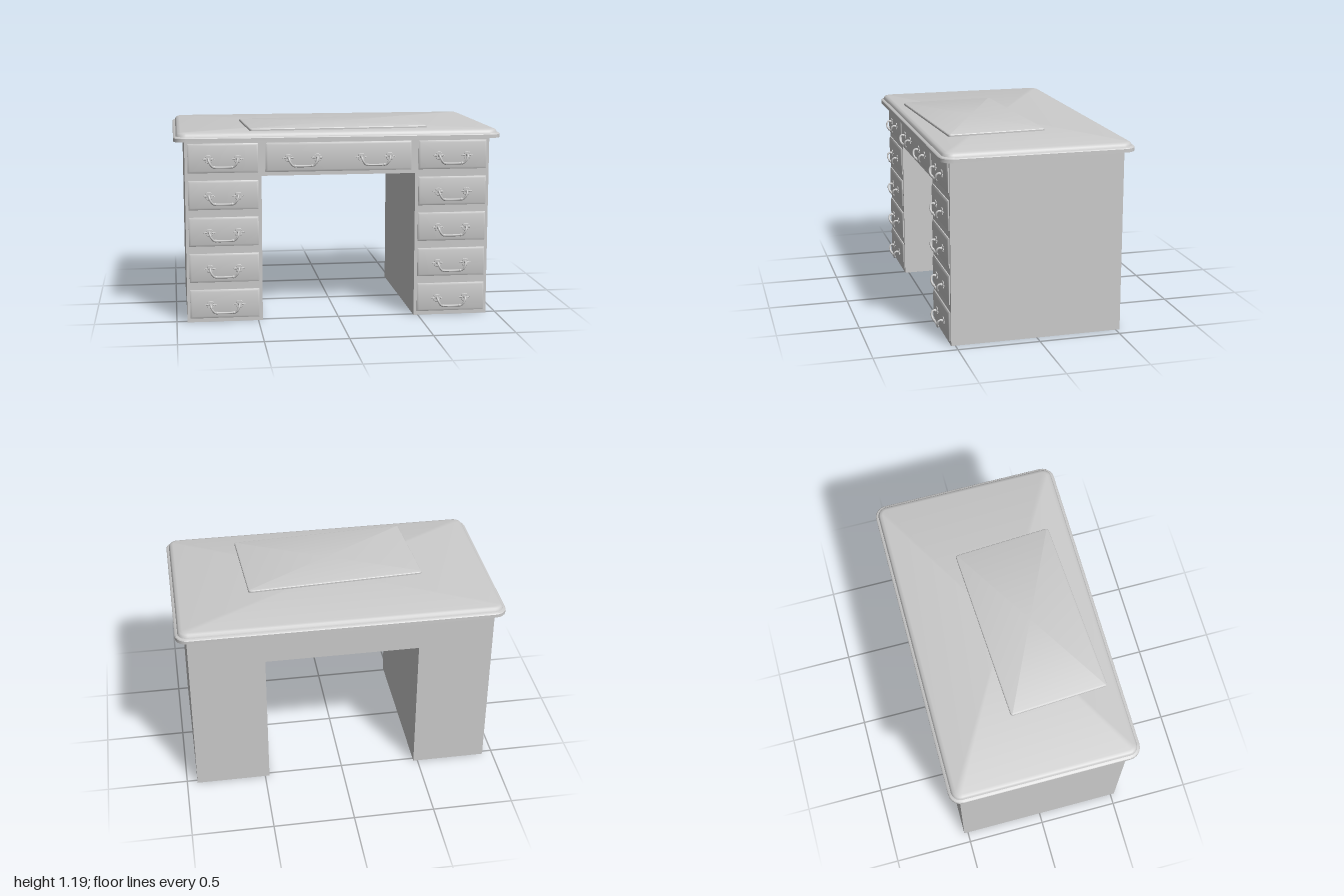
import * as THREE from 'three';
import { toCreasedNormals } from 'three/addons/utils/BufferGeometryUtils.js';

const grey = new THREE.MeshStandardMaterial({ color: 0xcccccc });
const greyThin = new THREE.MeshStandardMaterial({ color: 0xcccccc, side: THREE.DoubleSide });

function add(parent, name, geometry, x = 0, y = 0, z = 0, material = grey) {
  const mesh = new THREE.Mesh(geometry, material);
  mesh.name = name;
  mesh.position.set(x, y, z);
  parent.add(mesh);
  return mesh;
}

// Outline of a rounded rectangle, anticlockwise in the x-z plane
function outline(w, d, r, segs, inset, y) {
  const ring = [];
  const radius = Math.max(r - inset, 0.0005);
  const cx = w / 2 - inset - radius, cz = d / 2 - inset - radius;
  [[1, 1], [-1, 1], [-1, -1], [1, -1]].forEach(([sx, sz], q) => {
    for (let i = 0; i <= segs; i++) {
      const a = (q + i / segs) * Math.PI / 2;
      ring.push(new THREE.Vector3(sx * cx + radius * Math.cos(a), y, sz * cz + radius * Math.sin(a)));
    }
  });
  return ring;
}

// Slab with a moulded edge: profile is a list of [inset, height], from bottom to top
function slab(w, d, r, segs, profile) {
  const rings = profile.map(([inset, y]) => outline(w, d, r, segs, inset, y));
  const pts = [];
  const n = rings[0].length;
  const low = new THREE.Vector3(0, profile[0][1], 0);
  const high = new THREE.Vector3(0, profile[profile.length - 1][1], 0);
  for (let i = 0; i < n; i++) {
    const j = (i + 1) % n;
    for (let k = 0; k < rings.length - 1; k++) {
      const a = rings[k][i], b = rings[k][j], c = rings[k + 1][i], e = rings[k + 1][j];
      pts.push(a, c, b, b, c, e);
    }
    const top = rings[rings.length - 1];
    pts.push(low, rings[0][i], rings[0][j], high, top[j], top[i]);
  }
  const g = new THREE.BufferGeometry().setFromPoints(pts);
  return toCreasedNormals(g, 0.6);
}

// Bail handle: two leaf-shaped back plates, posts and a hanging bar
const plateShape = new THREE.Shape(Array.from({ length: 32 }, (_, i) => {
  const t = i / 32 * Math.PI * 2;
  const r = 0.7 + 0.3 * Math.cos(4 * t + Math.PI * 0.5 * Math.sin(2 * t));
  return new THREE.Vector2(0.034 * r * Math.cos(t), 0.022 * r * Math.sin(t));
}));
const plateGeo = new THREE.ExtrudeGeometry(plateShape, {
  depth: 0.004, bevelEnabled: true, bevelThickness: 0.002, bevelSize: 0.002, bevelSegments: 1,
});
const half = [[0.088, 0, 0.002], [0.088, 0.004, 0.02], [0.087, -0.004, 0.033], [0.078, -0.026, 0.037], [0.062, -0.044, 0.031], [0.04, -0.047, 0.028]];
const barPath = new THREE.CatmullRomCurve3([
  ...half.map(([x, y, z]) => new THREE.Vector3(-x, y, z)),
  ...half.slice().reverse().map(([x, y, z]) => new THREE.Vector3(x, y, z)),
]);
const barGeo = new THREE.TubeGeometry(barPath, 48, 0.0065, 8);
const knobGeo = new THREE.SphereGeometry(0.009, 10, 8);

function makeHandle() {
  const handle = new THREE.Group();
  handle.name = 'handle';
  add(handle, 'handleBar', barGeo);
  for (const s of [-1, 1]) {
    add(handle, 'handlePlate', plateGeo, s * 0.088, 0, 0);
    add(handle, 'handlePost', knobGeo, s * 0.088, 0.001, 0.012);
    add(handle, 'handleCollar', knobGeo, s * 0.052, -0.046, 0.029);
  }
  return handle;
}

// Drawer front with a chamfered rim, and its handles
function makeDrawer(w, h, handleXs) {
  const drawer = new THREE.Group();
  drawer.name = 'drawer';
  const profile = [[0, -0.006], [0, 0.006], [0.004, 0.009], [0.013, 0.013]];
  add(drawer, 'drawerFront', slab(w, h, 0, 1, profile)).rotation.x = Math.PI / 2;
  for (const x of handleXs) {
    const handle = makeHandle();
    handle.position.set(x, -0.004, 0.012);
    drawer.add(handle);
  }
  return drawer;
}

export function createModel() {
  const desk = new THREE.Group();
  desk.name = 'desk';
  const outer = 0.935, inner = 0.473, topY = 1.118, kneeY = 0.9, zf = 0.525;

  // Carcass: thin walls, open underneath the pedestals
  const body = new THREE.Group();
  body.name = 'carcass';
  desk.add(body);
  const arch = new THREE.Shape([
    [-outer, 0], [-inner, 0], [-inner, kneeY], [inner, kneeY],
    [inner, 0], [outer, 0], [outer, topY], [-outer, topY],
  ].map(([x, y]) => new THREE.Vector2(x, y)));
  const wall = new THREE.ShapeGeometry(arch);
  add(body, 'frontWall', wall, 0, 0, zf, greyThin);
  add(body, 'backWall', wall, 0, 0, -zf, greyThin).rotation.y = Math.PI;
  for (const s of [-1, 1]) {
    add(body, 'outerSide', new THREE.PlaneGeometry(zf * 2, topY), s * outer, topY / 2, 0, greyThin).rotation.y = s * Math.PI / 2;
    add(body, 'innerSide', new THREE.PlaneGeometry(zf * 2, kneeY), s * inner, kneeY / 2, 0, greyThin).rotation.y = -s * Math.PI / 2;
  }
  add(body, 'kneeholeCeiling', new THREE.PlaneGeometry(inner * 2, zf * 2), 0, kneeY, 0, greyThin).rotation.x = Math.PI / 2;

  // Five drawers in each pedestal and one wide drawer between them
  for (const s of [-1, 1]) {
    for (let i = 0; i < 5; i++) {
      const drawer = makeDrawer(0.424, 0.178, [0]);
      drawer.position.set(s * 0.705, 0.114 + i * 0.2245, zf);
      desk.add(drawer);
    }
  }
  const wide = makeDrawer(0.895, 0.178, [-0.222, 0.222]);
  wide.position.set(0, 1.012, zf);
  desk.add(wide);

  // Table top with moulded edge
  add(desk, 'tableTop', slab(2, 1.172, 0.075, 5, [
    [0, 1.116], [0, 1.137], [0.004, 1.142], [0.017, 1.146],
    [0.021, 1.157], [0.028, 1.165], [0.045, 1.17],
  ]));

  // Writing pad, lying slightly askew
  const pad = add(desk, 'writingPad', slab(1.1, 0.61, 0.015, 3, [
    [0, 1.168], [0, 1.179], [0.003, 1.183], [0.012, 1.186],
  ]), -0.006, 0, 0.167);
  pad.rotation.y = 0.055;

  return desk;
}
